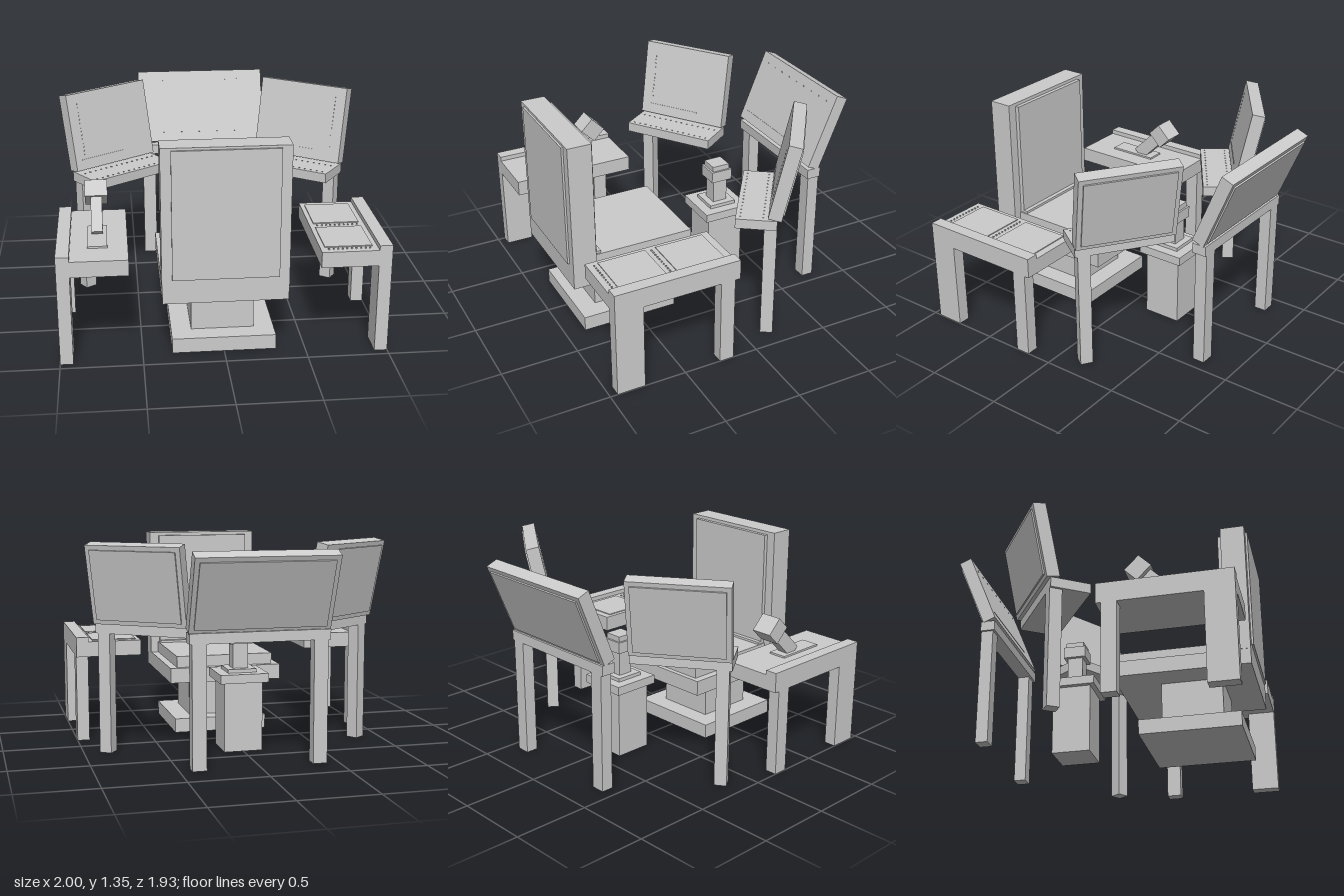
import * as THREE from 'three';

const material = new THREE.MeshStandardMaterial({ color: 0xcccccc, flatShading: true });

// Box given by its min and max on each axis
function block(parent, name, x0, x1, y0, y1, z0, z1) {
  const mesh = new THREE.Mesh(new THREE.BoxGeometry(x1 - x0, y1 - y0, z1 - z0), material);
  mesh.position.set((x0 + x1) / 2, (y0 + y1) / 2, (z0 + z1) / 2);
  mesh.name = name;
  parent.add(mesh);
  return mesh;
}

function group(parent, name, x = 0, y = 0, z = 0) {
  const g = new THREE.Group();
  g.name = name;
  g.position.set(x, y, z);
  parent.add(g);
  return g;
}

// Square block centred on the vertical axis
const tier = (parent, name, r, y0, y1) => block(parent, name, -r, r, y0, y1, -r, r);

// Leaning screen; its origin is the middle of the bottom front edge
function screen(parent, y, z, w, h, t, tilt) {
  const g = group(parent, 'screen', 0, y, z);
  g.rotation.x = -tilt;
  block(g, 'screenCase', -w / 2, w / 2, 0, h, -t, 0);
  block(g, 'screenBackPanel', -w / 2 + 0.03, w / 2 - 0.03, 0.03, h - 0.03, -t - 0.01, -t);
  block(g, 'screenTrim', -w / 2 + 0.05, w / 2 - 0.2, 0.065, 0.07, 0, 0.003);
  return g;
}

// Row of small square buttons between two points
function buttons(parent, count, from, to) {
  for (let i = 0; i < count; i++) {
    const p = from.clone().lerp(to, i / (count - 1));
    block(parent, 'button', p.x - 0.004, p.x + 0.004, p.y - 0.004, p.y + 0.004, p.z - 0.004, p.z + 0.004);
  }
}
const V = (x, y, z) => new THREE.Vector3(x, y, z);

export function createModel() {
  const model = new THREE.Group();
  model.name = 'commandStation';

  // Chair, turned towards the screens
  const chair = group(model, 'chair');
  block(chair, 'chairBase', -0.32, 0.32, 0, 0.095, 0.23, 0.87);
  block(chair, 'chairColumn', -0.195, 0.195, 0.095, 0.375, 0.355, 0.745);
  block(chair, 'seat', -0.38, 0.38, 0.375, 0.475, 0.08, 0.952);
  block(chair, 'seatCushion', -0.33, 0.33, 0.475, 0.55, 0.112, 0.797);
  block(chair, 'backrest', -0.382, 0.382, 0.475, 1.347, 0.797, 0.952);
  block(chair, 'backrestCushion', -0.32, 0.32, 0.55, 1.325, 0.77, 0.797);
  block(chair, 'lumbarStrip', -0.32, 0.32, 0.55, 0.566, 0.74, 0.77);
  block(chair, 'backrestRearPanel', -0.32, 0.32, 0.53, 1.332, 0.952, 0.965);

  // Side desks, each on two outer legs
  for (const s of [-1, 1]) {
    const desk = group(model, s > 0 ? 'leftDesk' : 'rightDesk');
    const part = (name, a, b, ...rest) => block(desk, name, Math.min(s * a, s * b), Math.max(s * a, s * b), ...rest);
    part('deskTop', 0.572, 0.92, 0.57, 0.67, 0.13, 0.952);
    part('deskRail', 0.92, 1, 0.57, 0.70, 0.13, 0.952);
    part('deskRearLeg', 0.92, 1, 0, 0.57, 0.77, 0.952);
    part('deskFrontLeg', 0.92, 1, 0, 0.57, 0.165, 0.26);
    if (s > 0) {
      part('controlPlate', 0.6, 0.89, 0.67, 0.676, 0.18, 0.5);
      part('controlPlate', 0.6, 0.89, 0.67, 0.676, 0.57, 0.88);
      for (const z of [0.535, 0.91]) buttons(desk, 10, V(0.62, 0.674, z), V(0.87, 0.674, z));
    }
  }

  // Control stick on the right desk
  const stick = group(model, 'controlStick', -0.755, 0.876, 0.347);
  block(stick, 'stickPlate', -0.06, 0.06, -0.206, -0.194, 0.08, 0.413);
  const lever = group(stick, 'lever');
  lever.rotation.x = -Math.PI / 4;
  block(lever, 'leverShaft', -0.035, 0.035, -0.29, 0, -0.04, 0.05);
  block(lever, 'leverHead', -0.07, 0.07, -0.055, 0.055, -0.064, 0.064);

  // Small pedestal in the middle
  const pedestal = group(model, 'pedestal', 0, 0, -0.257);
  [['pedestalBody', 0.125, 0, 0.45], ['pedestalTop', 0.158, 0.45, 0.507], ['pedestalStep', 0.093, 0.507, 0.53],
    ['pedestalNeck', 0.05, 0.53, 0.69], ['pedestalHead', 0.073, 0.69, 0.765], ['pedestalCap', 0.06, 0.765, 0.8],
  ].forEach((t) => tier(pedestal, ...t));

  // Middle console on two legs
  const middle = group(model, 'middleConsole');
  const middleScreen = screen(middle, 0.86, -0.695, 0.885, 0.504, 0.084, 0.389);
  buttons(middleScreen, 9, V(-0.36, 0.44, 0), V(0.36, 0.44, 0));
  block(middle, 'consoleBeam', -0.44, 0.44, 0.77, 0.835, -0.79, -0.695);
  for (const s of [-1, 1]) block(middle, 'consoleLeg', s * 0.38 - 0.045, s * 0.38 + 0.045, 0, 0.77, -0.79, -0.71);

  // Angled side consoles, each on one outer leg
  for (const s of [-1, 1]) {
    const side = group(model, s > 0 ? 'leftConsole' : 'rightConsole', s * 0.727, 0, -0.46);
    side.rotation.y = -s * 0.611;
    const sideScreen = screen(side, 0.85, 0.19, 0.635, 0.511, 0.085, 0.207);
    buttons(sideScreen, 14, V(s * 0.24, 0.1, 0), V(s * 0.24, 0.44, 0));
    block(side, 'consoleShelf', -0.317, 0.317, 0.77, 0.835, 0.132, 0.389);
    buttons(side, 14, V(-0.28, 0.835, 0.36), V(0.28, 0.835, 0.36));
    buttons(side, 14, V(-0.28, 0.835, 0.22), V(0.28, 0.835, 0.22));
    block(side, 'consoleLeg', s * 0.26 - 0.04, s * 0.26 + 0.04, 0, 0.77, 0.132, 0.212);
  }

  return model;
}
